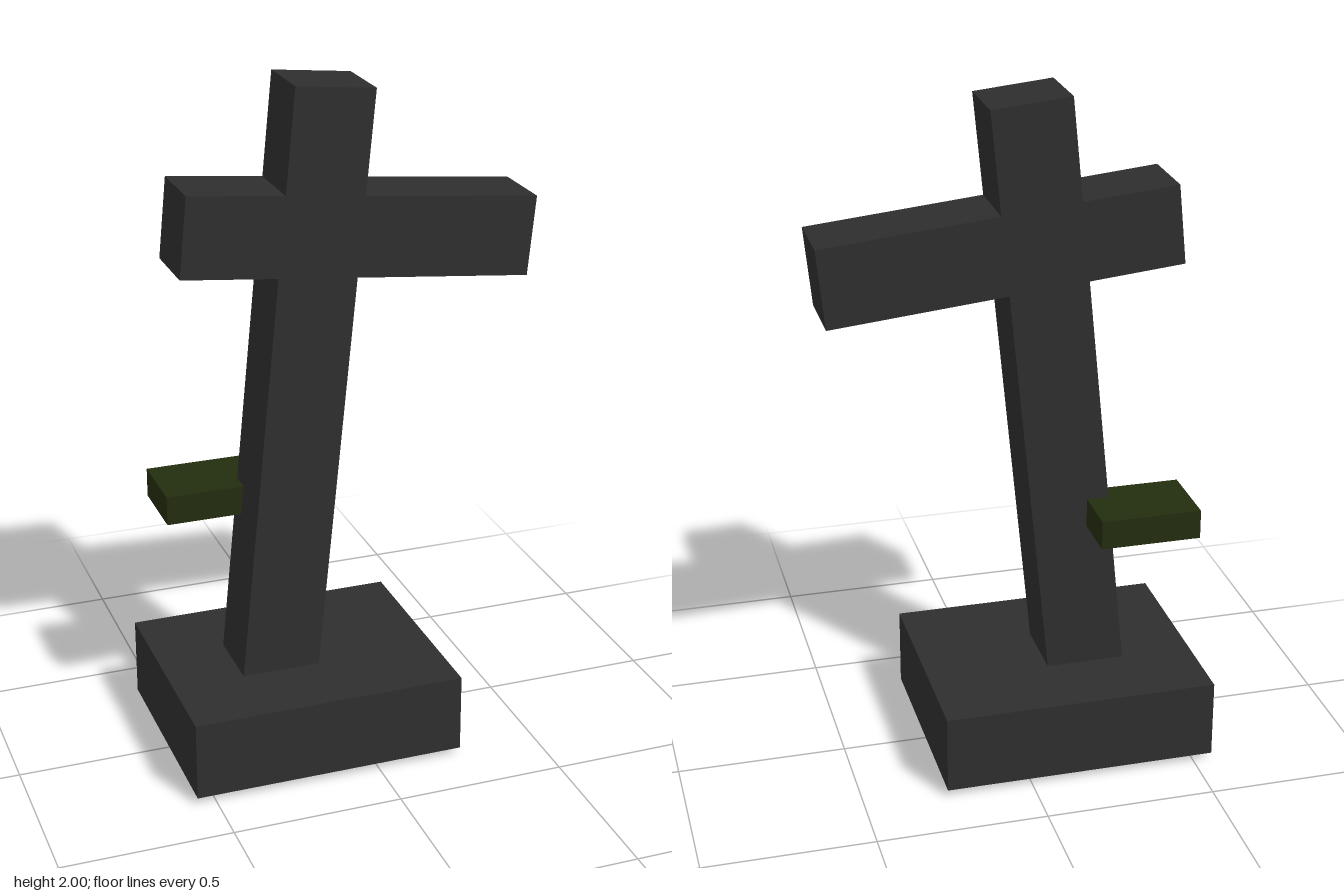
import * as THREE from 'three';

export function createModel() {
  const model = new THREE.Group();
  const stone = new THREE.MeshStandardMaterial({ color: 0x2e2e2e });
  stone.name = 'dark stone';
  const moss = new THREE.MeshStandardMaterial({ color: 0x232d0f });
  moss.name = 'moss green';

  const add = (name, geometry, material, x, y, z) => {
    const mesh = new THREE.Mesh(geometry, material);
    mesh.name = name;
    mesh.position.set(x, y, z);
    model.add(mesh);
    return mesh;
  };

  // Leaning cross, one outline extruded; its origin is the middle of the post
  const halfPost = 0.116, halfLength = 0.994;
  const armLeft = -0.397, armRight = 0.634, armBottom = 0.46, armTop = 0.694;
  const outline = new THREE.Shape([
    [-halfPost, -halfLength], [halfPost, -halfLength],
    [halfPost, armBottom], [armRight, armBottom], [armRight, armTop], [halfPost, armTop],
    [halfPost, halfLength], [-halfPost, halfLength],
    [-halfPost, armTop], [armLeft, armTop], [armLeft, armBottom], [-halfPost, armBottom],
  ].map(([x, y]) => new THREE.Vector2(x, y)));
  const depth = 0.204;
  const crossGeometry = new THREE.ExtrudeGeometry(outline, { depth, bevelEnabled: false });
  crossGeometry.translate(0, 0, -depth / 2);
  add('cross', crossGeometry, stone, -0.15, 1.0, 0).rotation.z = -0.1;

  // Plinth, with the foot of the post just showing beneath it
  add('plinth', new THREE.BoxGeometry(0.81, 0.235, 0.66), stone, -0.15, 0.1375, 0);

  // Mossy ledge wrapped around the back corner of the post
  add('mossLedge', new THREE.BoxGeometry(0.296, 0.087, 0.218), moss, -0.37, 0.7535, -0.149);

  return model;
}
